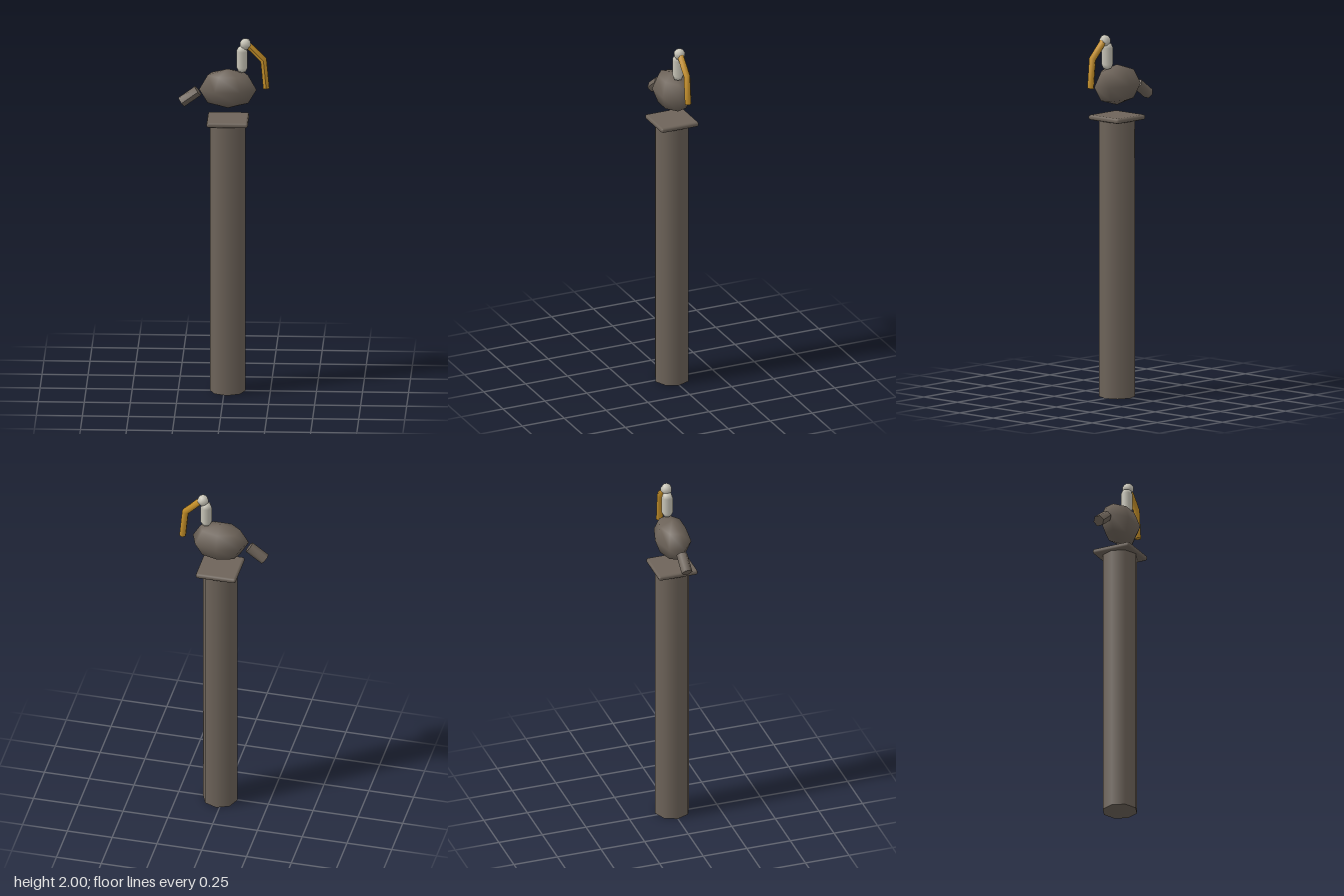
import * as THREE from 'three';
import { RoundedBoxGeometry } from 'three/addons/geometries/RoundedBoxGeometry.js';

function material(name, color) {
  const m = new THREE.MeshStandardMaterial({ color });
  m.name = name;
  return m;
}

// Six-sided bar bent in the xy plane, with mitred rings at the path points
function bentBar(points, radius) {
  const n = points.length - 1;
  const geo = new THREE.CylinderGeometry(radius, radius, n, 6, n);
  const pos = geo.attributes.position;
  const dirs = points.slice(1).map((p, i) => p.clone().sub(points[i]).normalize());
  for (let i = 0; i < pos.count; i++) {
    const k = Math.round(n / 2 - pos.getY(i));
    const a = dirs[Math.max(k - 1, 0)], b = dirs[Math.min(k, n - 1)];
    const t = a.clone().add(b).normalize();
    const s = pos.getX(i) / t.dot(a);
    pos.setXYZ(i, points[k].x - t.y * s, points[k].y + t.x * s, pos.getZ(i));
  }
  geo.computeVertexNormals();
  return geo;
}

export function createModel() {
  const group = new THREE.Group();
  const brown = material('weathered brown', 0x6e645a);
  const pale = material('pale feather', 0xc9c6b9);
  const gold = material('bill gold', 0xc8922a);

  function add(name, geometry, mat, x = 0, y = 0, z = 0) {
    const mesh = new THREE.Mesh(geometry, mat);
    mesh.name = name;
    mesh.position.set(x, y, z);
    group.add(mesh);
    return mesh;
  }
  const path = (...pts) => pts.map(([x, y]) => new THREE.Vector2(x, y));

  // Piling and its chamfered cap
  add('post', new THREE.CylinderGeometry(0.097, 0.097, 1.53, 8), brown, 0.018, 0.765);
  add('postCap', new RoundedBoxGeometry(0.224, 0.028, 0.224, 1, 0.012), brown, 0.019, 1.535);

  // Seven-sided body and stubby tail
  const body = new THREE.SphereGeometry(1, 7, 4, -Math.PI / 2);
  body.scale(0.16, 0.111, 0.097);
  add('body', body, brown, 0.02, 1.715);
  add('tail', bentBar(path([-0.143, 1.7], [-0.232, 1.635]), 0.031), brown);

  // Neck, head and drooping bill
  add('neck', new THREE.CapsuleGeometry(0.032, 0.09, 2, 7), pale, 0.097, 1.882);
  add('head', new THREE.SphereGeometry(0.032, 7, 5), pale, 0.115, 1.968);
  add('bill', bentBar(path([0.125, 1.967], [0.213, 1.878], [0.228, 1.718]), 0.019), gold);

  return group;
}
